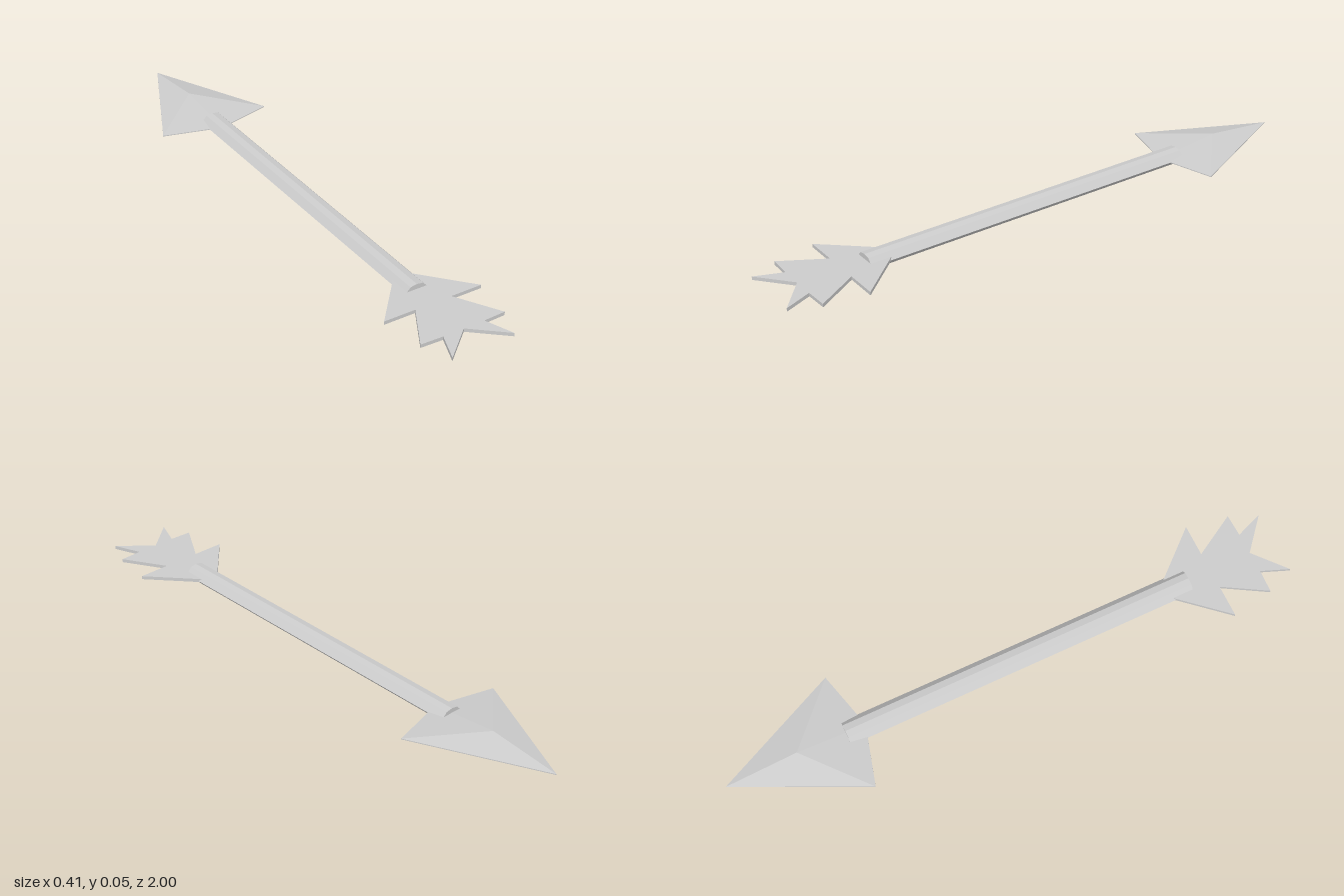
import * as THREE from 'three';

const MID = 0.028; // height of the arrow's centre plane

// Outline drawn in (x, z), extruded upward from y = bottom
function plate(points, bottom, thickness) {
  const shape = new THREE.Shape(points.map(([x, z]) => new THREE.Vector2(x, -z)));
  const geo = new THREE.ExtrudeGeometry(shape, { depth: thickness, bevelEnabled: false });
  return geo.rotateX(-Math.PI / 2).translate(0, bottom, 0);
}

// Half outline on +x, mirrored to -x; first and last points lie on the axis
function mirrored(half) {
  return [...half, ...half.slice(1, -1).reverse().map(([x, z]) => [-x, z])];
}

// Kite-shaped point: flat underside, thin rim, raised to a single peak
function headGeometry() {
  const rim = [[0, -1], [-0.205, -0.565], [0, -0.51], [0.205, -0.565]];
  const low = 0.025, high = 0.028;
  const peak = [0, 0.054, -0.75];
  const pos = [];
  rim.forEach(([x, z], i) => {
    const [u, w] = rim[(i + 1) % 4];
    const a = [x, low, z], b = [u, low, w], c = [u, high, w], d = [x, high, z];
    pos.push(...d, ...c, ...peak);            // sloping top
    pos.push(...a, ...b, ...c, ...a, ...c, ...d); // rim
    pos.push(...b, ...a, 0, low, -0.75);      // underside
  });
  const geo = new THREE.BufferGeometry();
  geo.setAttribute('position', new THREE.Float32BufferAttribute(pos, 3));
  geo.computeVertexNormals();
  return geo;
}

export function createModel() {
  const group = new THREE.Group();
  const grey = new THREE.MeshStandardMaterial({ color: 0xcccccc, flatShading: true });
  grey.name = 'light grey';

  const add = (name, geo) => {
    const mesh = new THREE.Mesh(geo, grey);
    mesh.name = name;
    group.add(mesh);
  };

  // Shaft: flattened eight-sided bar along z
  const section = [
    [0, 0.026], [-0.023, 0.022], [-0.0435, 0], [-0.023, -0.022],
    [0, -0.026], [0.023, -0.022], [0.0435, 0], [0.023, 0.022],
  ];
  const shaftShape = new THREE.Shape(section.map(([x, y]) => new THREE.Vector2(x, y)));
  const shaft = new THREE.ExtrudeGeometry(shaftShape, { depth: 1.25, bevelEnabled: false });
  add('shaft', shaft.translate(0, MID - 0.002, -0.58));

  add('arrowhead', headGeometry());

  // Fletching: notched flat plate at the tail
  const fletching = mirrored([
    [0, 0.555], [0.177, 0.755], [0.066, 0.755], [0.152, 0.902],
    [0.074, 0.905], [0.111, 1], [0, 0.905],
  ]);
  add('fletching', plate(fletching, 0.022, 0.012));

  return group;
}
